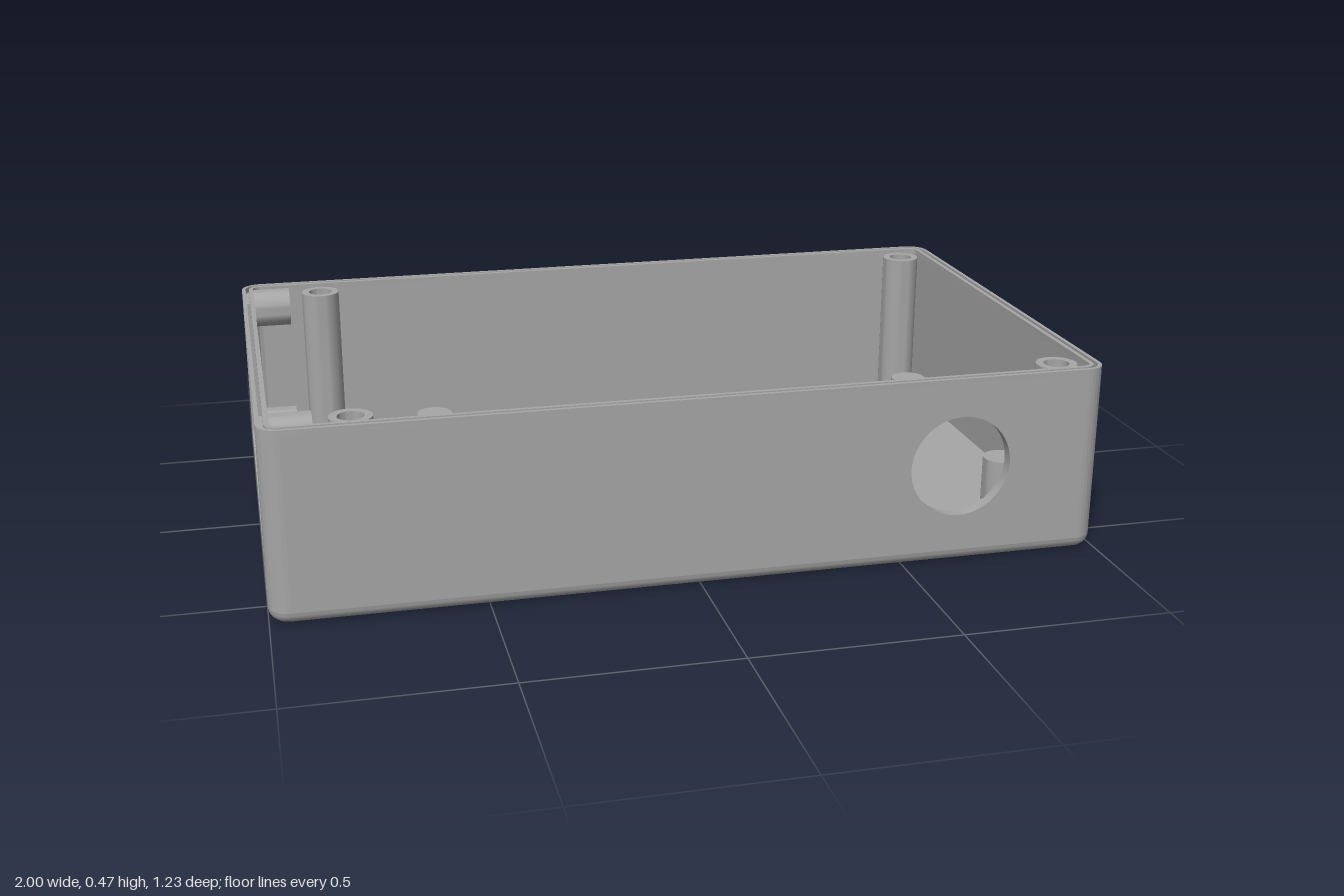
import * as THREE from 'three';
import { toCreasedNormals } from 'three/addons/utils/BufferGeometryUtils.js';

const HX = 1, HZ = 0.617, R = 0.05, T = 0.03; // half sizes, corner radius, wall thickness
const FLOOR = 0.03, WALL_TOP = 0.451, TOP = 0.465;

const plastic = new THREE.MeshStandardMaterial({ color: 0xa6a6a6 });
plastic.name = 'grey plastic';

export function createModel() {
  const group = new THREE.Group();
  group.name = 'enclosure';

  function add(name, geometry, x = 0, y = 0, z = 0) {
    const mesh = new THREE.Mesh(toCreasedNormals(geometry, 0.6), plastic);
    mesh.name = name;
    mesh.position.set(x, y, z);
    group.add(mesh);
    return mesh;
  }
  const extrude = (shape, depth) =>
    new THREE.ExtrudeGeometry(shape, { depth, bevelEnabled: false, curveSegments: 24 });

  // Outline points of the box, moved inward by an inset
  function outline(inset) {
    const points = [], r = R - inset, n = 8;
    for (let q = 0; q < 4; q++) {
      const cx = (q === 0 || q === 3 ? 1 : -1) * (HX - R), cz = (q < 2 ? 1 : -1) * (HZ - R);
      for (let i = 0; i <= n; i++) {
        const a = (q + i / n) * Math.PI / 2;
        points.push(new THREE.Vector2(cx + r * Math.cos(a), cz + r * Math.sin(a)));
      }
    }
    return points;
  }

  // Floor slab with a rounded bottom edge
  const rings = [], pos = [], index = [], steps = 6;
  for (let j = 0; j <= steps; j++) {
    const a = j / steps * Math.PI / 2;
    rings.push({ y: FLOOR * (1 - Math.cos(a)), pts: outline(FLOOR * (1 - Math.sin(a))) });
  }
  const n = rings[0].pts.length;
  rings.forEach(({ y, pts }) => pts.forEach(p => pos.push(p.x, y, p.y)));
  const low = rings.length * n, high = low + 1, last = steps * n;
  pos.push(0, 0, 0, 0, FLOOR, 0);
  for (let k = 0; k < n; k++) {
    const m = (k + 1) % n;
    for (let j = 0; j < steps; j++) {
      const a = j * n + k, b = j * n + m;
      index.push(a, a + n, b, b, a + n, b + n);
    }
    index.push(low, k, m, high, last + m, last + k);
  }
  const floor = new THREE.BufferGeometry();
  floor.setAttribute('position', new THREE.Float32BufferAttribute(pos, 3));
  floor.setIndex(index);
  add('floor', floor);

  // Flat wall panels
  function panel(half) {
    return new THREE.Shape([[-half, FLOOR], [half, FLOOR], [half, WALL_TOP], [-half, WALL_TOP]]
      .map(p => new THREE.Vector2(...p)));
  }
  function cutHole(shape, x, y, r) {
    const hole = new THREE.Path();
    hole.absarc(x, y, r, 0, Math.PI * 2, true);
    shape.holes.push(hole);
  }
  const front = panel(HX - R);
  cutHole(front, 0.635, 0.245, 0.125);
  add('frontWall', extrude(front, T), 0, 0, HZ - T);
  add('backWall', extrude(panel(HX - R), T), 0, 0, -HZ);
  add('leftWall', extrude(panel(HZ - R), T).rotateY(Math.PI / 2), HX - T);

  // Right wall with a wide opening and four screw holes
  const h = HZ - R, o = 0.47, sill = 0.09;
  const open = new THREE.Shape([[-h, FLOOR], [h, FLOOR], [h, WALL_TOP], [o, WALL_TOP],
    [o, sill], [-o, sill], [-o, WALL_TOP], [-h, WALL_TOP]].map(p => new THREE.Vector2(...p)));
  const bossZ = 0.525, bossYs = [0.08, 0.422];
  for (const s of [-1, 1]) for (const y of bossYs) cutHole(open, s * bossZ, y, 0.027);
  add('rightWall', extrude(open, T).rotateY(Math.PI / 2), -HX);

  // Rounded corner columns
  const quarter = new THREE.Shape();
  quarter.moveTo(R, 0);
  quarter.absarc(0, 0, R, 0, Math.PI / 2, false);
  quarter.lineTo(0, R - T);
  quarter.absarc(0, 0, R - T, Math.PI / 2, 0, true);
  [[1, -1], [-1, -1], [-1, 1], [1, 1]].forEach(([sx, sz], k) => {
    const g = extrude(quarter, WALL_TOP - FLOOR).rotateX(-Math.PI / 2).rotateY(k * Math.PI / 2);
    add('cornerColumn', g, sx * (HX - R), FLOOR, sz * (HZ - R));
  });

  // Two thin lips with a seal groove between them
  for (const [name, outer, inner] of [['outerLip', 0, 0.01], ['innerLip', 0.019, T]]) {
    const lip = new THREE.Shape(outline(outer));
    lip.holes.push(new THREE.Path(outline(inner)));
    add(name, extrude(lip, TOP - WALL_TOP).rotateX(-Math.PI / 2), 0, WALL_TOP, 0);
  }

  const lathe = profile =>
    new THREE.LatheGeometry(profile.map(p => new THREE.Vector2(...p)), 32);

  for (const s of [-1, 1]) {
    // Tall lid screw posts with blind holes
    for (const x of [-0.79, 0.905]) {
      add('screwPost', lathe([[0.05, FLOOR], [0.05, 0.457], [0.031, 0.457], [0.031, 0.2], [0, 0.2]]),
        x, 0, s * 0.53);
    }
    // Short board standoffs
    for (const x of [-0.51, 0.87]) {
      add('standoff', lathe([[0.048, FLOOR], [0.048, 0.147], [0, 0.147]]), x, 0, s * 0.335);
    }
    // Sideways panel screw bosses
    for (const y of bossYs) {
      const boss = lathe([[0.05, 0], [0.05, 0.095], [0.027, 0.095], [0.027, 0], [0.05, 0]]);
      add('panelBoss', boss.rotateZ(-Math.PI / 2), -HX + T, y, s * bossZ);
    }
  }
  return group;
}
